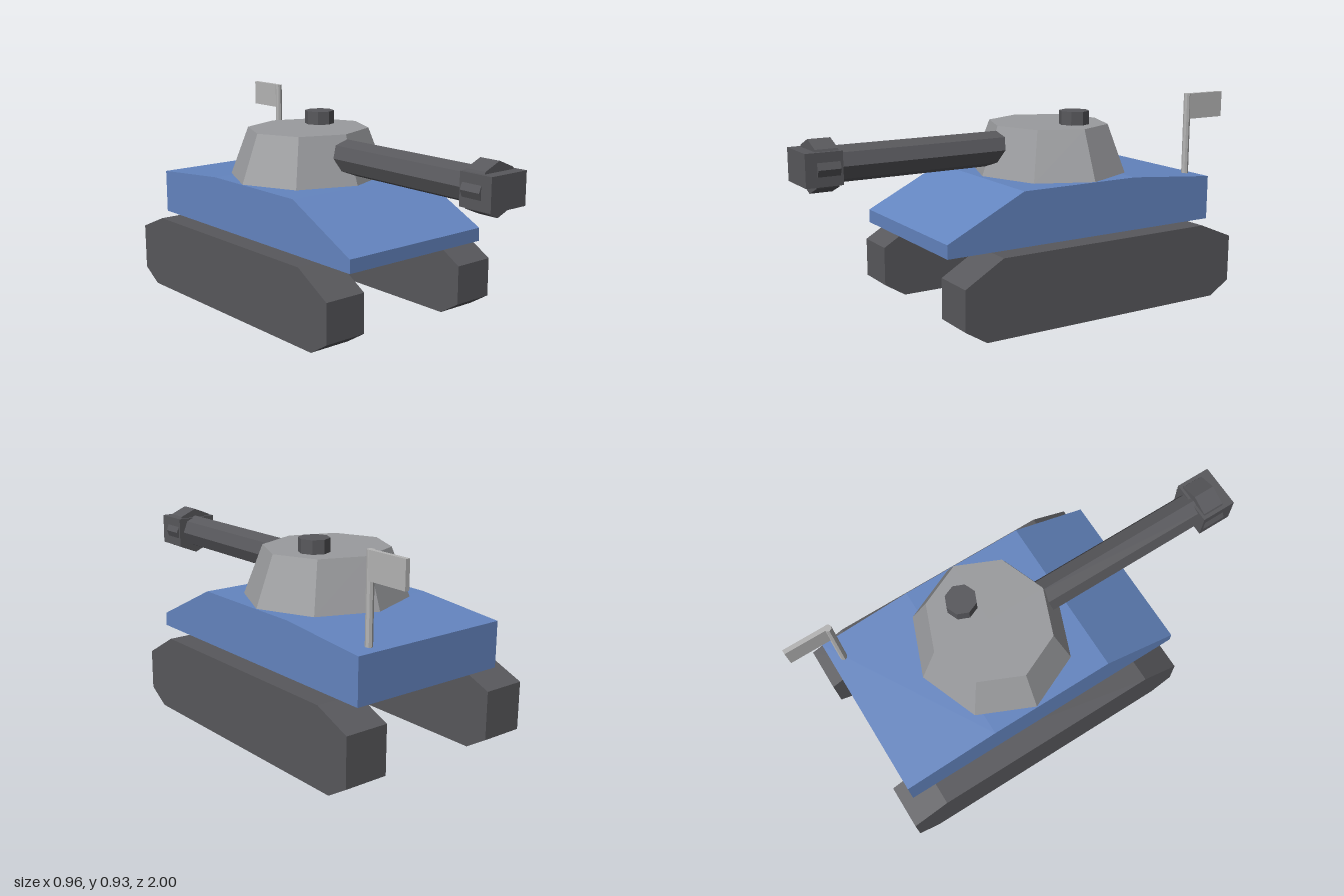
import * as THREE from 'three';

export function createModel() {
  const group = new THREE.Group();
  const mat = (color) => new THREE.MeshStandardMaterial({ color, flatShading: true });
  const blue = mat(0x6485c0), dark = mat(0x58585c), grey = mat(0x9a9b9e), pale = mat(0xb4b4b4);

  const add = (name, geometry, material, x = 0, y = 0, z = 0) => {
    const mesh = new THREE.Mesh(geometry, material);
    mesh.name = name;
    mesh.position.set(x, y, z);
    group.add(mesh);
    return mesh;
  };

  // Side profile of [z, y] points, extruded across x and centred on x = 0
  const sideExtrude = (points, width) => {
    const shape = new THREE.Shape(points.map(([z, y]) => new THREE.Vector2(-z, y)));
    return new THREE.ExtrudeGeometry(shape, { depth: width, bevelEnabled: false })
      .translate(0, 0, -width / 2)
      .rotateY(Math.PI / 2);
  };

  // Eight-sided bar along z, from z0 to z1
  const bar = (name, radius, z0, z1) =>
    add(name, new THREE.CylinderGeometry(radius, radius, z1 - z0, 8).rotateX(Math.PI / 2),
      dark, 0, 0.706, (z0 + z1) / 2);

  // Hull with sloped nose and rear deck
  add('hull', sideExtrude([
    [0.525, 0.345], [0.525, 0.405], [0.16, 0.585],
    [-0.42, 0.585], [-0.855, 0.547], [-0.855, 0.345],
  ], 0.76), blue);

  // Tracks
  const track = sideExtrude([
    [0.5, 0.24], [0.5, 0.062], [0.4, 0.0], [-0.81, 0.0],
    [-0.91, 0.062], [-0.91, 0.275], [-0.74, 0.345], [0.32, 0.345],
  ], 0.2);
  add('leftTrack', track, dark, 0.38);
  add('rightTrack', track, dark, -0.38);

  // Turret, slightly wider than long, and its hatch
  const turret = add('turret', new THREE.CylinderGeometry(0.29, 0.376, 0.22, 8), grey, 0, 0.695, -0.207);
  turret.scale.z = 0.925;
  add('hatch', new THREE.CylinderGeometry(0.069, 0.069, 0.08, 8), dark, 0.12, 0.826, -0.27);

  // Gun barrel and muzzle brake
  bar('barrel', 0.078, 0, 0.9);
  bar('muzzleRing', 0.112, 0.852, 0.95);
  add('muzzleBlock', new THREE.BoxGeometry(0.2, 0.14, 0.16), dark, 0, 0.706, 0.92);

  // Flag on its pole
  add('flagPole', new THREE.CylinderGeometry(0.016, 0.016, 0.39, 8), pale, 0.28, 0.732, -0.8);
  add('flag', new THREE.BoxGeometry(0.02, 0.118, 0.2), pale, 0.284, 0.868, -0.9);

  return group;
}
